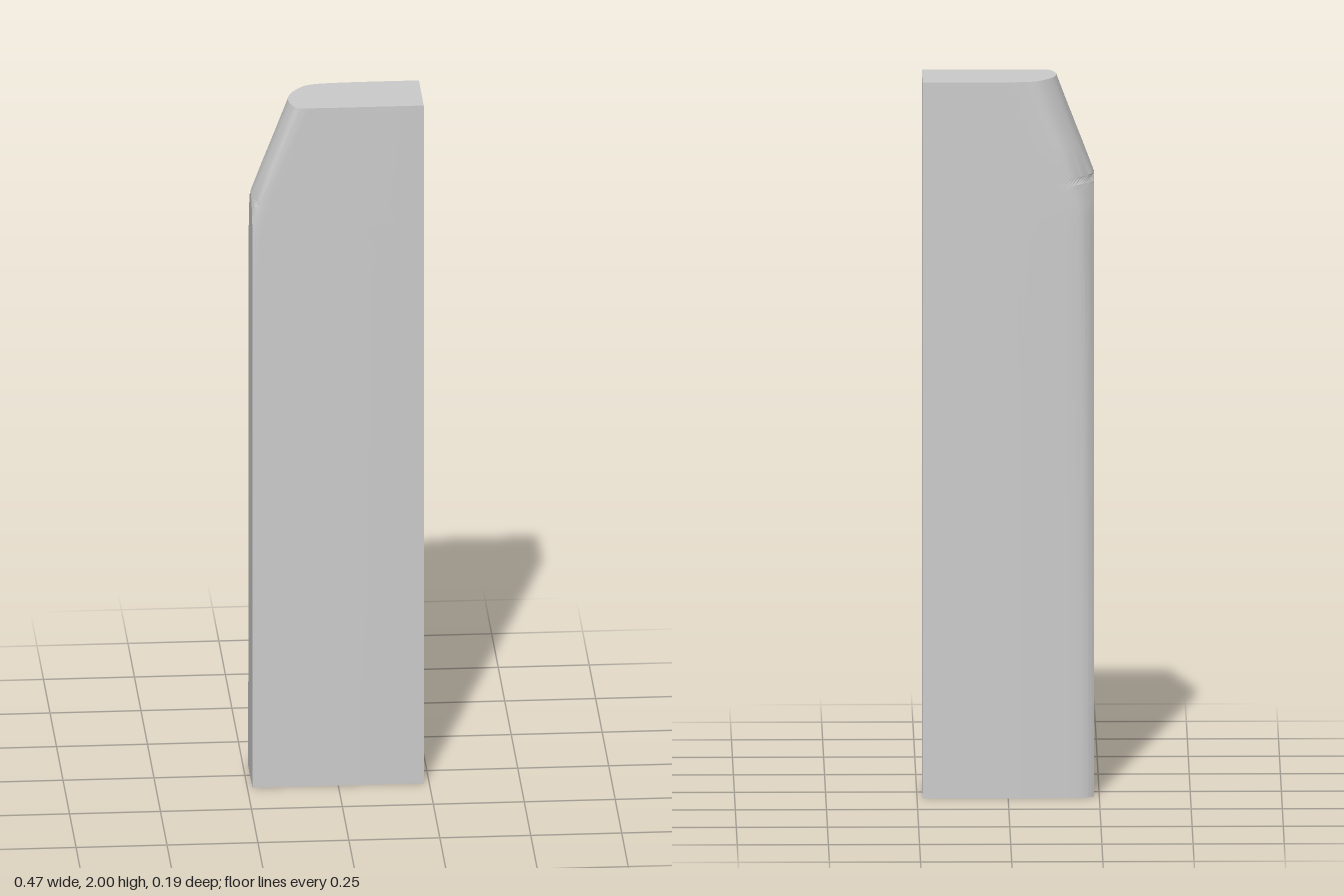
import * as THREE from 'three';
import { toCreasedNormals } from 'three/addons/utils/BufferGeometryUtils.js';

const LEFT = -0.236, RIGHT = 0.235, FRONT = 0.093, BACK = -0.094;

// Rounded nose of the cross-section at the top, from front to back (x, z).
const nose = new THREE.SplineCurve([
  [0, 0.093], [-0.06, 0.0925], [-0.1, 0.091], [-0.118, 0.082], [-0.13, 0.05], [-0.133, 0.025],
  [-0.129, -0.005], [-0.115, -0.037], [-0.085, -0.073], [-0.05, -0.087], [0.02, -0.0925], [0.12, -0.094],
].map(([x, z]) => new THREE.Vector2(x, z)));

// How far the nose has slid outwards at each height (y, shift).
const slide = [[0, 0.146], [0.5, 0.144], [1, 0.141], [1.4, 0.136], [1.55, 0.132], [1.62, 0.128],
  [1.66, 0.122], [1.69, 0.114], [1.71, 0.109], [1.73, 0.103], [1.82, 0.069], [1.91, 0.034], [2, 0]];

// Parameter of the outermost point on the nose.
let tip = 0;
for (let u = 0; u <= 1; u += 0.001) if (nose.getPoint(u).x < nose.getPoint(tip).x) tip = u;

// Where the nose meets the flat left side, searching from the tip towards one end.
function crossing(end, shift) {
  let out = tip, inside = end;
  if (nose.getPoint(tip).x - shift >= LEFT) return tip;
  for (let i = 0; i < 30; i++) {
    const mid = (out + inside) / 2;
    if (nose.getPoint(mid).x - shift < LEFT) out = mid; else inside = mid;
  }
  return inside;
}

// One horizontal section: front branch, flat left side, back branch, square right side.
function section(y, shift) {
  const N = 20, ring = [new THREE.Vector3(RIGHT, y, FRONT)];
  const add = (u) => {
    const p = nose.getPoint(u);
    ring.push(new THREE.Vector3(Math.max(p.x - shift, LEFT), y, p.y));
  };
  const f = crossing(0, shift), b = crossing(1, shift);
  for (let i = 0; i <= N; i++) add(f * i / N);
  for (let i = 0; i <= N; i++) add(b + (1 - b) * i / N);
  ring.push(new THREE.Vector3(RIGHT, y, BACK));
  return ring;
}

export function createModel() {
  const group = new THREE.Group();
  group.name = 'shapedPost';

  const rings = slide.map(([y, s]) => section(y, s));
  const pos = [];
  const tri = (a, b, c) => {
    const area = b.clone().sub(a).cross(c.clone().sub(a)).length();
    if (area > 1e-9) for (const p of [a, b, c]) pos.push(p.x, p.y, p.z);
  };

  // Side walls
  const n = rings[0].length;
  for (let i = 0; i < rings.length - 1; i++) {
    const lo = rings[i], hi = rings[i + 1];
    for (let j = 0; j < n; j++) {
      const k = (j + 1) % n;
      tri(lo[j], hi[j], lo[k]);
      tri(hi[j], hi[k], lo[k]);
    }
  }

  // Flat bottom and top
  const bottom = rings[0], top = rings[rings.length - 1];
  const c0 = new THREE.Vector3(0.05, 0, 0), c1 = new THREE.Vector3(0.05, 2, 0);
  for (let j = 0; j < n; j++) {
    const k = (j + 1) % n;
    tri(c0, bottom[j], bottom[k]);
    tri(c1, top[k], top[j]);
  }

  const geo = new THREE.BufferGeometry();
  geo.setAttribute('position', new THREE.Float32BufferAttribute(pos, 3));
  const post = new THREE.Mesh(toCreasedNormals(geo, 0.33),
    new THREE.MeshStandardMaterial({ color: 0xcccccc }));
  post.name = 'post';
  group.add(post);
  return group;
}
